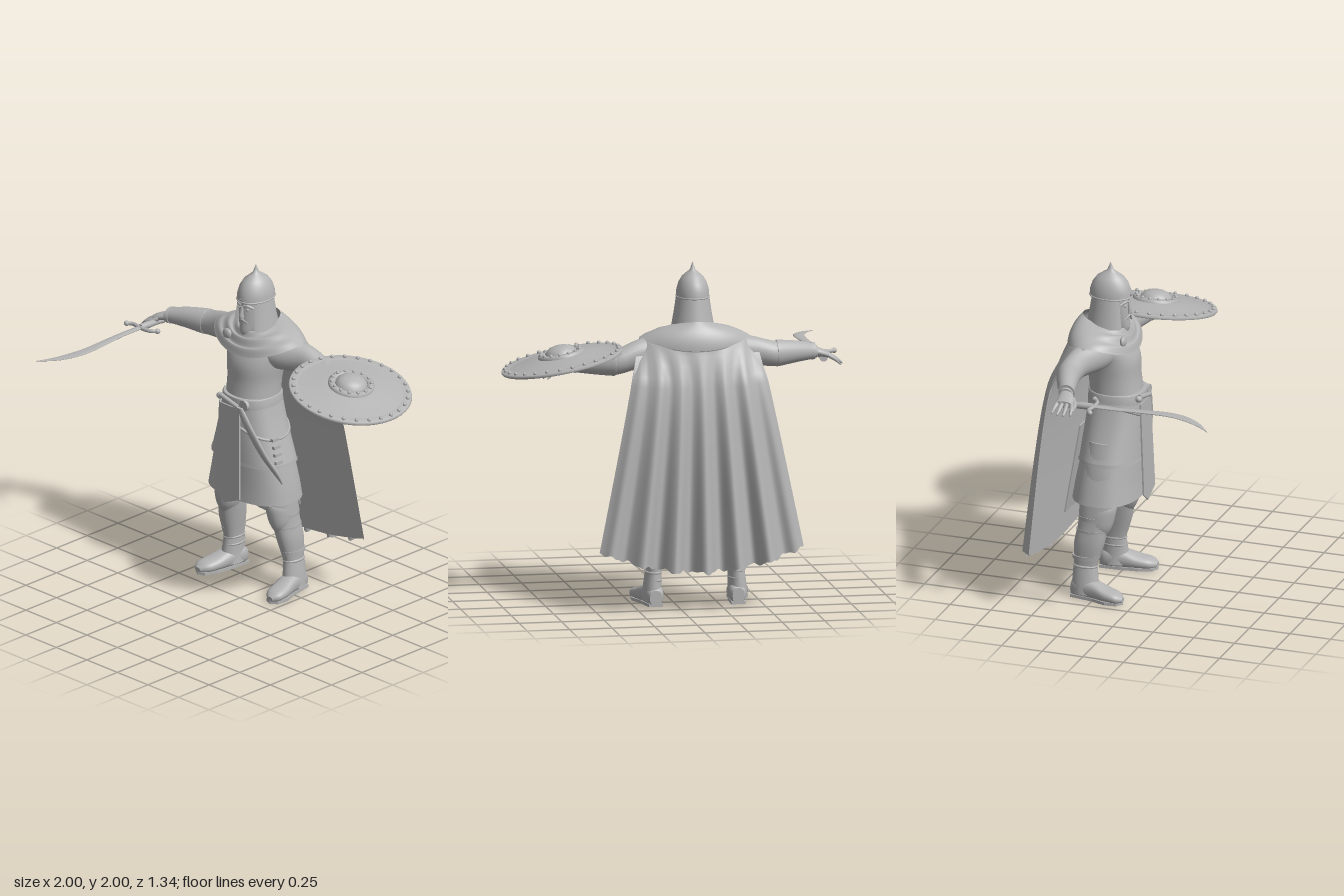
import * as THREE from 'three';
import { ParametricGeometry } from 'three/addons/geometries/ParametricGeometry.js';

const clay = new THREE.MeshStandardMaterial({ color: 0xb4b4b4, side: THREE.DoubleSide });
clay.name = 'clay grey';
const { lerp, smoothstep } = THREE.MathUtils;
const power = (c, p) => Math.sign(c) * Math.abs(c) ** (2 / p);

// Loft of (super)elliptic rings along axis k (0 x, 1 y, 2 z); ring: [x, y, z, ru, rv].
// ru, rv run along the next two axes in cyclic order.
function loft(k, rings, { n = 24, p = 2, sub = 4, cap = true } = {}) {
  let rs = rings[0][k] > rings[rings.length - 1][k] ? [...rings].reverse() : rings;
  const fine = [];
  for (let i = 0; i < rs.length - 1; i++) for (let s = 0; s < sub; s++) {
    const [a, b, c, d] = [rs[Math.max(i - 1, 0)], rs[i], rs[i + 1], rs[Math.min(i + 2, rs.length - 1)]], t = s / sub;
    fine.push(b.map((q, m) => 0.5 * (2 * q + (c[m] - a[m]) * t + (2 * a[m] - 5 * q + 4 * c[m] - d[m]) * t * t
      + (3 * q - a[m] - 3 * c[m] + d[m]) * t * t * t)));
  }
  rs = [...fine, rs[rs.length - 1]];
  const pos = [], idx = [], u = (k + 1) % 3, v = (k + 2) % 3;
  const ring = r => {
    const start = pos.length / 3;
    for (let j = 0; j < n; j++) {
      const t = j / n * Math.PI * 2, q = [r[0], r[1], r[2]];
      q[u] += r[3] * power(Math.cos(t), p);
      q[v] += r[4] * power(Math.sin(t), p);
      pos.push(...q);
    }
    return start;
  };
  const starts = rs.map(ring);
  for (let i = 0; i < starts.length - 1; i++) for (let j = 0; j < n; j++) {
    const a = starts[i] + j, b = starts[i] + (j + 1) % n, c = starts[i + 1] + (j + 1) % n, d = starts[i + 1] + j;
    idx.push(a, b, c, a, c, d);
  }
  if (cap) [rs[0], rs[rs.length - 1]].forEach((r, e) => {
    const s = ring(r), m = pos.length / 3;
    pos.push(r[0], r[1], r[2]);
    for (let j = 0; j < n; j++) e ? idx.push(m, s + j, s + (j + 1) % n) : idx.push(m, s + (j + 1) % n, s + j);
  });
  const g = new THREE.BufferGeometry();
  g.setAttribute('position', new THREE.Float32BufferAttribute(pos, 3));
  g.setIndex(idx);
  g.computeVertexNormals();
  return g;
}

const lathe = (pts, n = 40, ...arc) => new THREE.LatheGeometry(pts.map(q => new THREE.Vector2(...q)), n, ...arc);
const tube = (pts, r, n = 12, closed = false) =>
  new THREE.TubeGeometry(new THREE.CatmullRomCurve3(pts.map(q => new THREE.Vector3(...q)), closed), n, r, 8, closed);
const plate = (pts, depth) =>
  new THREE.ExtrudeGeometry(new THREE.Shape(pts.map(q => new THREE.Vector2(...q))), { depth, bevelEnabled: false });

// Shoulder mantle: angle a around the neck (0 = front), v from neck to hem
function mantlePoint(a, v, q) {
  const c = Math.cos(a), front = Math.max(c, 0), out = c < 0 ? lerp(v, Math.sin(v * Math.PI / 2), -c) : v;
  const y = lerp(1.64 - .03 * c, 1.568 - (c > 0 ? .085 : .06) * c * c, v)
    + .014 * Math.sin(v * Math.PI) + .009 * Math.sin(v * 17) * front;
  return q.set(lerp(.1, .32, out) * Math.sin(a), y, -.28 + lerp(.13, .2, out) * c);
}

export function createModel() {
  const model = new THREE.Group();
  model.name = 'caped warrior';
  const body = new THREE.Group();
  body.name = 'body';
  body.position.x = -0.115;
  model.add(body);
  function add(name, geo, parent = body, x = 0, y = 0, z = 0) {
    const m = new THREE.Mesh(geo, clay);
    m.name = name;
    m.position.set(x, y, z);
    parent.add(m);
    return m;
  }

  // Torso and coat
  add('torso', loft(1, [[.013, 1.15, -.205, .155, .158], [.013, 1.3, -.222, .15, .158], [.012, 1.42, -.238, .158, .175],
    [0, 1.52, -.26, .135, .19], [0, 1.6, -.26, .08, .11], [0, 1.68, -.25, .065, .065]], { n: 40, p: 2.2 }));
  add('coatUpper', loft(1, [[.013, 1.21, -.205, .16, .163], [.012, 1.05, -.21, .17, .2], [.01, .82, -.222, .186, .272]], { n: 48, p: 2.4, cap: false }));
  add('coatLower', loft(1, [[.01, .86, -.222, .17, .25], [.005, .7, -.235, .187, .285], [0, .585, -.24, .2, .305]], { n: 48, p: 2.4, cap: false }));
  add('coatHem', loft(1, [[.01, .835, -.222, .187, .273], [.01, .815, -.222, .189, .276]], { n: 48, p: 2.4, sub: 1, cap: false }));
  add('belt', loft(1, [[.013, 1.225, -.205, .16, .16], [.013, 1.22, -.205, .166, .166], [.013, 1.165, -.205, .168, .172], [.013, 1.16, -.205, .162, .168]], { n: 48, p: 2.3, sub: 1 }));
  add('buckle', new THREE.CylinderGeometry(.032, .032, .02, 20), body, .1, 1.195, -.05).rotation.x = Math.PI / 2;
  // Sagging second belt, lower on the left hip
  const sag = [];
  for (let i = 0; i < 32; i++) {
    const a = i / 32 * Math.PI * 2, s = Math.sin(a);
    sag.push([.012 + (.2 + .02 * s) * power(s, 2.4), 1.07 - .09 * s, -.211 + .172 * power(Math.cos(a), 2.4)]);
  }
  add('slingBelt', tube(sag, .009, 80, true));
  add('frontPanel', plate([[-.085, 1.17], [-.085, .61], [-.02, .56], [.1, .61], [.08, 1.17]], .01), body, 0, 0, .004).rotation.x = -.035;
  add('backPanel', plate([[-.12, 1], [-.12, .44], [.12, .43], [.12, 1]], .008), body, 0, .02, -.563).rotation.x = .17;

  // Sheathed dagger
  add('scabbard', loft(1, [[.075, 1.18, -.035, .014, .026], [.14, 1.05, -.055, .014, .034], [.22, .9, -.09, .014, .034],
    [.275, .8, -.13, .014, .026], [.305, .73, -.155, .004, .005]], { n: 12 }));
  add('daggerHilt', tube([[.07, 1.18, -.03], [-.01, 1.2, -.03], [-.08, 1.215, -.035]], .014));
  add('daggerPommel', new THREE.SphereGeometry(.02, 12, 8), body, -.09, 1.205, -.04);
  for (let i = 0; i < 4; i++) add('strapKnot', new THREE.BoxGeometry(.02, .018, .05), body, .24 + i * .01, .99 - i * .045, -.16);

  // Head
  add('face', loft(1, [[0, 1.57, -.18, .035, .025], [0, 1.605, -.19, .062, .046], [0, 1.66, -.212, .083, .063],
    [0, 1.74, -.222, .09, .073], [0, 1.83, -.23, .09, .078]], { n: 28 }));
  add('nose', loft(1, [[0, 1.695, -.128, .013, .017], [0, 1.71, -.127, .016, .014], [0, 1.765, -.133, .008, .009]], { n: 10 }));
  add('beard', loft(1, [[0, 1.565, -.165, .025, .02], [0, 1.61, -.165, .036, .04], [0, 1.655, -.165, .031, .048]], { n: 16 }));
  add('moustache', tube([[-.032, 1.665, -.145], [0, 1.684, -.129], [.032, 1.665, -.145]], .007));
  for (const s of [-1, 1]) {
    add('brow', tube([[s * .01, 1.768, -.134], [s * .035, 1.775, -.139], [s * .062, 1.76, -.163]], .008));
    add('eye', new THREE.SphereGeometry(.01, 10, 8), body, s * .031, 1.748, -.146);
  }
  const helmet = new THREE.Group();
  helmet.name = 'helmet';
  helmet.position.z = -.245;
  helmet.scale.z = 1.3;
  body.add(helmet);
  add('dome', lathe([[.095, 1.79], [.094, 1.83], [.082, 1.875], [.062, 1.91], [.034, 1.935], [.016, 1.95], [.01, 1.968], [0, 2]]), helmet);
  add('brim', new THREE.TorusGeometry(.094, .005, 8, 40), helmet, 0, 1.795).rotation.x = Math.PI / 2;
  add('neckGuard', lathe([[.124, 1.62], [.11, 1.7], [.095, 1.8]], 36, .78, Math.PI * 2 - 1.56), helmet).scale.z = .87;
  add('browPeak', new THREE.ConeGeometry(.022, .05, 4), helmet, 0, 1.79, .081).rotation.x = Math.PI;

  // Mantle, flowing at the back into a folded cape with a lining
  add('mantle', new ParametricGeometry((u, v, q) => mantlePoint(u * Math.PI * 2, v, q), 64, 24));
  const halfWidth = v => .365 + .235 * v;
  const sweep = v => .085 * (1 - Math.exp(-7 * v));
  const edge = new THREE.Vector3();
  add('cape', new ParametricGeometry((u, v, q) => {
    const s = 2 * u - 1;
    const tear = .007 * Math.sin(s * 37) + .005 * Math.sin(s * 71);
    const fold = Math.cos(s * 20 + .4) * .05 * v ** .8 * (1 - s ** 6);
    q.set(s * halfWidth(v), lerp(1.51, .235 + .12 * s * s + tear, v), -.465 - sweep(v) - .065 * v + s ** 4 * (.06 + .025 * v) - fold);
    mantlePoint(Math.PI * (1 - s / 2), 1, edge);
    q.lerpVectors(edge, q, smoothstep(v, 0, .16));
  }, 110, 30));
  add('capeLining', new ParametricGeometry((u, v, q) => {
    const s = 2 * u - 1;
    q.set(s * halfWidth(v) * .995, lerp(1.48, .275 + .085 * s * s, v), -.405 - sweep(v) - .04 * v);
  }, 24, 16));
  add('clasp', new THREE.SphereGeometry(.034, 16, 10), body, -.115, 1.56, -.125).scale.z = .5;

  for (const s of [-1, 1]) {
    // Arm, cuff and hand; the left one sinks a little below the shield
    const drop = x => s > 0 ? Math.min(.03, .15 * Math.max(0, x - .335)) : 0;
    const mir = list => list.map(([x, y, ...r]) => [s * x, y - drop(x), ...r]);
    add('arm', loft(0, mir([[.12, 1.49, -.27, .1, .11], [.2, 1.487, -.285, .1, .105], [.335, 1.477, -.325, .086, .073],
      [.44, 1.46, -.335, .076, .07], [.5, 1.455, -.325, .07, .066], [.6, 1.455, -.295, .058, .058], [.73, 1.445, -.25, .035, .04]])));
    add('cuff', loft(0, mir([[.475, 1.457, -.33, .076, .07], [.49, 1.457, -.328, .077, .071], [.6, 1.457, -.295, .063, .061], [.71, 1.45, -.258, .046, .048]])));
    add('cuffBand', loft(0, mir([[.695, 1.45, -.262, .051, .053], [.715, 1.45, -.255, .049, .052]]), { sub: 1 }));
    add('palm', loft(0, mir([[.71, 1.448, -.255, .028, .035], [.76, 1.435, -.24, .024, .05], [.81, 1.418, -.235, .016, .05]]), { n: 16 }));
    for (let i = 0; i < 4; i++) {
      const z = -.277 + i * .028, l = [.062, .08, .08, .065][i];
      add('finger', loft(0, mir([[.795, 1.42, z, .013, .013], [.8 + l * .5, 1.4, z + .002 - (1.5 - i) * .006, .012, .012],
        [.8 + l, 1.372, z - (1.5 - i) * .01, .006, .006]]), { n: 8 }));
    }
    add('thumb', tube([[s * .75, 1.43 - drop(1), -.2], [s * .785, 1.415 - drop(1), -.178], [s * .825, 1.4 - drop(1), -.17]], .014));

    // Leg, greave and boot
    add('leg', loft(1, [[s * .13, .95, -.22, .11, .1], [s * .17, .75, -.23, .12, .1], [s * .21, .56, -.25, .105, .072],
      [s * .22, .45, -.268, .092, .066], [s * .235, .33, -.29, .09, .06], [s * .243, .18, -.31, .068, .043], [s * .25, .05, -.31, .07, .05]], { p: 2.2 }));
    add('kneeGuard', loft(1, [[s * .208, .565, -.235, .1, .066], [s * .21, .53, -.24, .104, .073], [s * .217, .44, -.25, .092, .064],
      [s * .222, .38, -.262, .07, .035]]));
    [.5, .42, .34, .26].forEach((y, i) => add('greaveStrap', loft(1, [[s * (.216 + i * .009), y, -.26 - i * .015, .103 - i * .006, .072 - i * .006],
      [s * (.217 + i * .009), y - .022, -.262 - i * .015, .099 - i * .006, .07 - i * .006]], { sub: 1 })));
    [.195, .15].forEach(y => {
      const band = add('ankleBand', new THREE.TorusGeometry(.043, .008, 8, 24), body, s * .244, y, -.31);
      band.rotation.x = Math.PI / 2;
      band.scale.y = 1.5;
    });
    add('bootShaft', loft(1, [[s * .244, .19, -.31, .072, .048], [s * .25, .1, -.308, .08, .054], [s * .25, .03, -.305, .085, .06]]));
    add('bootFoot', loft(2, [[s * .243, .05, -.392, .035, .045], [s * .245, .062, -.35, .054, .06], [s * .258, .06, -.26, .058, .056],
      [s * .277, .046, -.17, .064, .04], [s * .29, .038, -.1, .055, .03], [s * .295, .03, -.062, .02, .014]], { p: 2.4 }));
    const sole = [[.2, .39], [.285, .39], [.31, .25], [.343, .16], [.335, .09], [.295, .06], [.25, .08], [.22, .16], [.205, .27]];
    add('sole', plate(sole.map(([x, z]) => [s * x, z]), .018)).rotation.x = -Math.PI / 2;
  }

  // Round shield, lying almost flat over the left hand
  const shield = new THREE.Group();
  shield.name = 'shield';
  shield.position.set(.652, 1.437, -.25);
  shield.rotation.set(.02, 0, -.195);
  model.add(shield);
  add('shieldFace', lathe([[.355, -.008], [.36, 0], [.355, .012], [.31, .014], [.305, .008], [.2, .03], [.1, .044], [0, .048]], 56), shield);
  add('shieldBack', lathe([[0, .036], [.2, .018], [.355, -.008]], 56), shield);
  add('bossRing', lathe([[.135, .03], [.135, .05], [.122, .058], [.1, .058], [.095, .045]]), shield);
  add('boss', lathe([[.095, .04], [.09, .06], [.07, .08], [.04, .092], [0, .096]]), shield);
  const studs = (count, r, y, size) => {
    for (let i = 0; i < count; i++) {
      const a = i / count * Math.PI * 2;
      add('stud', new THREE.SphereGeometry(size, 8, 6), shield, r * Math.cos(a), y, r * Math.sin(a));
    }
  };
  studs(28, .335, .017, .012);
  studs(14, .116, .06, .011);

  // Curved sword in the right hand
  const sword = new THREE.Group();
  sword.name = 'sword';
  model.add(sword);
  add('blade', loft(2, [[-.885, 1.41, -.07, .02, .007], [-.883, 1.412, .08, .022, .007], [-.872, 1.414, .22, .026, .007], [-.862, 1.414, .38, .032, .006],
    [-.88, 1.41, .49, .034, .005], [-.925, 1.402, .59, .024, .004], [-.995, 1.394, .672, .002, .002]], { n: 12 }), sword);
  add('grip', loft(2, [[-.885, 1.405, -.25, .024, .024], [-.885, 1.405, -.2, .018, .018], [-.885, 1.408, -.13, .021, .021], [-.885, 1.41, -.07, .018, .018]], { n: 14 }), sword);
  add('guard', tube([[-.985, 1.41, -.055], [-.95, 1.41, -.075], [-.885, 1.41, -.065], [-.81, 1.41, -.072], [-.775, 1.41, -.1]], .012, 24), sword);
  for (const [x, z] of [[-.983, -.055], [-.775, -.1]]) add('guardTip', new THREE.SphereGeometry(.016, 10, 8), sword, x, 1.41, z);
  return model;
}
